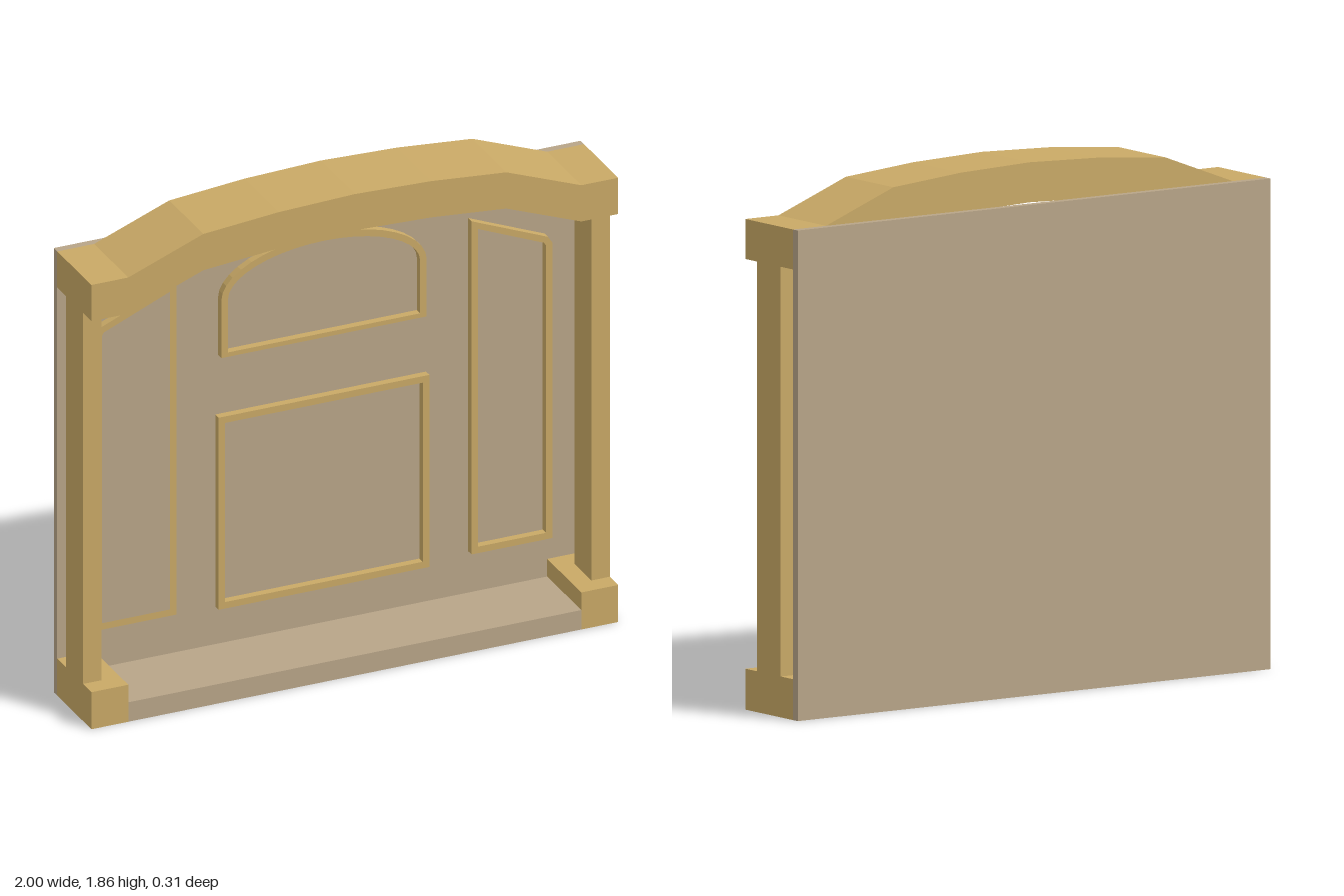
import * as THREE from 'three';

const wood = new THREE.MeshStandardMaterial({ color: 0xc9a966, flatShading: true });
const board = new THREE.MeshStandardMaterial({ color: 0xb8a588, flatShading: true });

const BACK = -0.157, WALL = -0.128, FRONT = 0.157; // depth planes

// Box given by its two corners
function box(name, material, [x0, y0, z0], [x1, y1, z1]) {
  const mesh = new THREE.Mesh(new THREE.BoxGeometry(x1 - x0, y1 - y0, z1 - z0), material);
  mesh.position.set((x0 + x1) / 2, (y0 + y1) / 2, (z0 + z1) / 2);
  mesh.name = name;
  return mesh;
}

// Outline, optionally with a hole, extruded from z0 to z1
function slab(name, outline, hole, z0, z1) {
  const toVectors = (pts) => pts.map(([x, y]) => new THREE.Vector2(x, y));
  const shape = new THREE.Shape(toVectors(outline));
  if (hole) shape.holes.push(new THREE.Path(toVectors(hole)));
  const geometry = new THREE.ExtrudeGeometry(shape, { depth: z1 - z0, bevelEnabled: false });
  geometry.translate(0, 0, z0);
  const mesh = new THREE.Mesh(geometry, wood);
  mesh.name = name;
  return mesh;
}

const rect = (w, y0, y1) => [[-w, y0], [w, y0], [w, y1], [-w, y1]];

// Flat base, straight sides and an elliptical head
function archOutline(w, y0, spring, rise) {
  const pts = [[-w, y0], [w, y0]];
  for (let i = 0; i <= 20; i++) {
    const a = (Math.PI * i) / 20;
    pts.push([w * Math.cos(a), spring + rise * Math.sin(a)]);
  }
  return pts;
}

export function createModel() {
  const group = new THREE.Group();
  group.name = 'panelledSurround';

  // Back board and low sill
  group.add(box('backPanel', board, [-1, 0, BACK], [1, 1.716, WALL]));
  group.add(box('sill', board, [-0.86, 0, WALL], [0.86, 0.075, FRONT]));

  // Corner blocks and posts
  for (const [side, s] of [['left', 1], ['right', -1]]) {
    const span = (a, b) => (s > 0 ? [a, b] : [-b, -a]);
    const [b0, b1] = span(0.86, 1);
    const [p0, p1] = span(0.93, 1);
    group.add(box(side + 'Base', wood, [b0, 0, WALL], [b1, 0.143, FRONT]));
    group.add(box(side + 'Post', wood, [p0, 0.143, -0.055], [p1, 1.576, 0.087]));
  }

  // Arched cornice: a band of constant height
  const half = [[0, 1.86], [0.29, 1.85], [0.575, 1.825], [0.86, 1.716], [1, 1.716]];
  const top = [...half.slice(1).reverse().map(([x, y]) => [-x, y]), ...half];
  const bottom = top.map(([x, y]) => [x, y - 0.14]).reverse();
  group.add(slab('cornice', [...top, ...bottom], null, WALL, FRONT));

  // Raised mouldings on the panel
  const lip = -0.1;
  group.add(slab('lowerMoulding', rect(0.4, 0.22, 0.962), rect(0.375, 0.245, 0.937), WALL, lip));
  group.add(slab('archedMoulding', archOutline(0.39, 1.19, 1.41, 0.18),
    archOutline(0.365, 1.207, 1.41, 0.153), WALL, lip));

  const outer = [[0.56, 0.235], [0.868, 0.235], [0.868, 1.375], [0.85, 1.402], [0.56, 1.522]];
  const inner = [[0.585, 0.26], [0.843, 0.26], [0.843, 1.37], [0.835, 1.382], [0.585, 1.487]];
  const mirror = (pts) => pts.map(([x, y]) => [-x, y]);
  group.add(slab('leftMoulding', outer, inner, WALL, lip));
  group.add(slab('rightMoulding', mirror(outer), mirror(inner), WALL, lip));

  return group;
}
